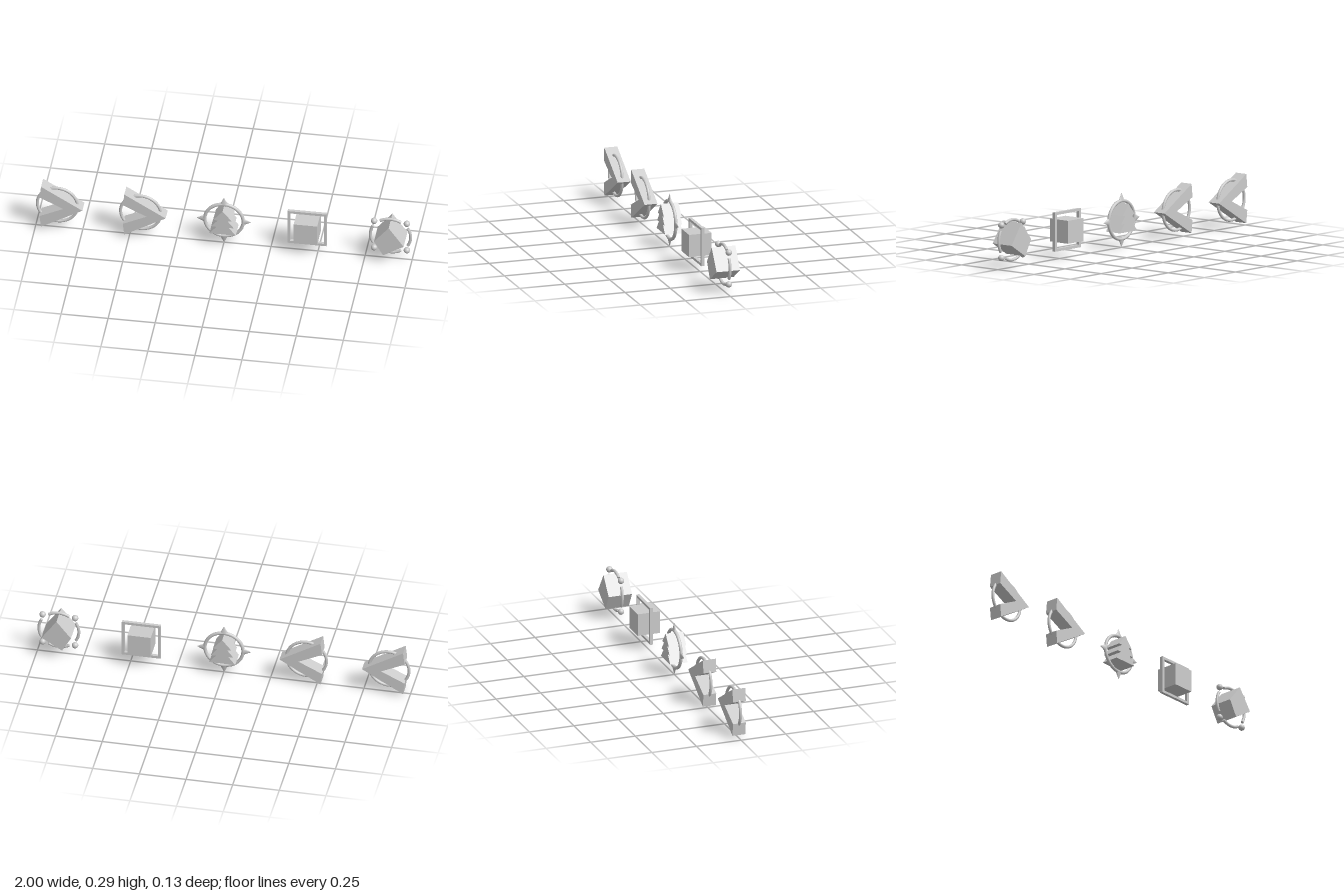
import * as THREE from 'three';

const CENTER_Y = 0.147;
const SPACING = 0.4425;
const RING = 0.107;
const TUBE = 0.008;

export function createModel() {
  const model = new THREE.Group();
  const material = new THREE.MeshStandardMaterial({ color: 0xcccccc });

  const add = (parent, name, geometry) => {
    const mesh = new THREE.Mesh(geometry, material);
    mesh.name = name;
    parent.add(mesh);
    return mesh;
  };
  // Flat outline extruded symmetrically about z = 0
  const slab = (points, depth, hole) => {
    const shape = new THREE.Shape(points.map(([x, y]) => new THREE.Vector2(x, y)));
    if (hole) shape.holes.push(new THREE.Path(hole.map(([x, y]) => new THREE.Vector2(x, y))));
    return new THREE.ExtrudeGeometry(shape, { depth, bevelEnabled: false }).translate(0, 0, -depth / 2);
  };
  const square = (h) => [[-h, -h], [h, -h], [h, h], [-h, h]];
  const icon = (name, slot) => {
    const group = new THREE.Group();
    group.name = name;
    group.position.set(slot * SPACING, CENTER_Y, 0);
    model.add(group);
    return group;
  };

  // Two ringed arrowheads pointing to +x
  for (const slot of [-2, -1]) {
    const arrow = icon('arrowIcon', slot);
    add(arrow, 'ring', new THREE.TorusGeometry(RING, TUBE, 12, 64));
    add(arrow, 'chevron', slab([
      [0.138, 0.001], [-0.082, 0.133], [-0.09, 0.062],
      [0.036, 0.001], [-0.09, -0.06], [-0.082, -0.129],
    ], 0.072));
  }

  // Tiered tree inside a ring with four flattened spikes
  const tree = icon('treeIcon', 0);
  add(tree, 'ring', new THREE.TorusGeometry(0.102, 0.009, 12, 64));
  const half = [[0.05, 0.03], [0.026, 0.03], [0.06, -0.013], [0.033, -0.013], [0.07, -0.059]];
  add(tree, 'tree', slab([
    [0, 0.091], ...half, ...half.map(([x, y]) => [-x, y]).reverse(),
  ], 0.097));
  for (let i = 0; i < 4; i++) {
    const spike = add(tree, 'spike', new THREE.ConeGeometry(0.021, 0.043, 20)
      .scale(1, 1, 0.42).translate(0, 0.1245, 0));
    spike.rotation.z = i * Math.PI / 2;
  }

  // Cube inside a square frame
  const cube = icon('cubeIcon', 1);
  add(cube, 'frame', slab(square(0.104), 0.017, square(0.09)));
  add(cube, 'cube', new THREE.BoxGeometry(0.125, 0.122, 0.125));

  // Tilted block inside a broken ring with a ball in each gap
  const block = icon('blockIcon', 2);
  add(block, 'tiltedBlock', slab([[0, 0.096], [-0.078, 0], [-0.03, -0.085], [0.08, -0.017]], 0.131));
  const sweep = 1.08;
  for (let i = 0; i < 4; i++) {
    const part = new THREE.Group();
    part.name = 'ringQuarter';
    part.rotation.z = i * Math.PI / 2;
    block.add(part);
    add(part, 'arc', new THREE.TorusGeometry(RING, TUBE, 12, 20, sweep).rotateZ(-sweep / 2));
    for (const side of [-1, 1]) {
      add(part, 'arcEnd', new THREE.CircleGeometry(TUBE, 12)
        .rotateX(-side * Math.PI / 2).translate(RING, 0, 0).rotateZ(side * sweep / 2));
    }
    const ball = add(part, 'ball', new THREE.SphereGeometry(0.017, 24, 16));
    ball.position.set(0.087, 0.087, 0);
  }

  return model;
}
